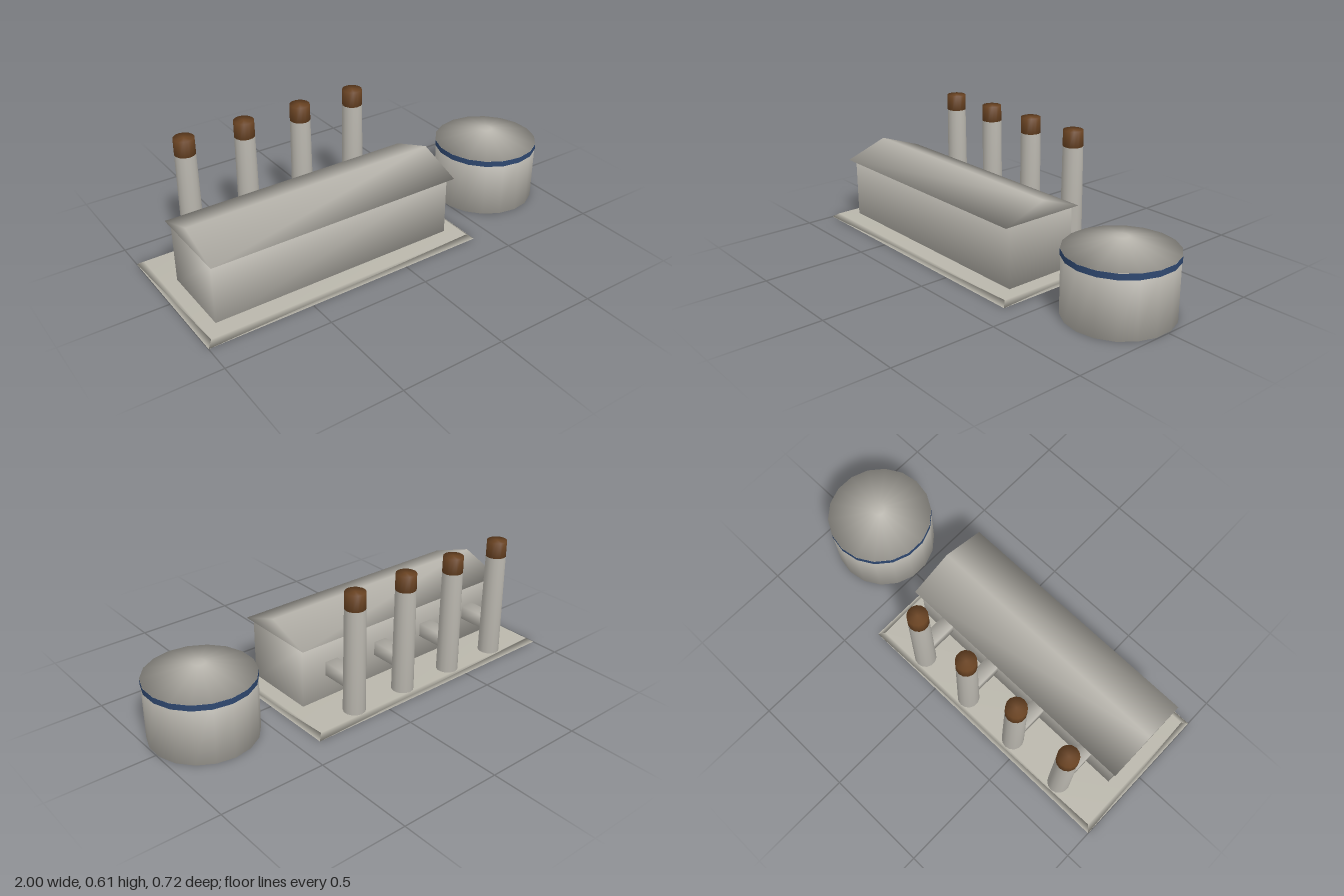
import * as THREE from 'three';
import { mergeVertices } from 'three/addons/utils/BufferGeometryUtils.js';

const concrete = new THREE.MeshStandardMaterial({ color: 0xb9b6ab });
concrete.name = 'concrete';
const cladding = new THREE.MeshStandardMaterial({ color: 0xb8b5ad });
cladding.name = 'grey cladding';
const rust = new THREE.MeshStandardMaterial({ color: 0x6b4423 });
rust.name = 'rust brown';
const blue = new THREE.MeshStandardMaterial({ color: 0x2f4870 });
blue.name = 'band blue';

// Weld the corners so that the shading runs smoothly over every edge
function weld(geometry) {
  geometry.deleteAttribute('normal');
  geometry.deleteAttribute('uv');
  const welded = mergeVertices(geometry, 1e-4);
  welded.computeVertexNormals();
  return welded;
}

function add(parent, name, geometry, material, x = 0, y = 0, z = 0) {
  const mesh = new THREE.Mesh(geometry, material);
  mesh.name = name;
  mesh.position.set(x, y, z);
  parent.add(mesh);
  return mesh;
}

// Box given by its limits
function block(x0, x1, y0, y1, z0, z1) {
  const g = new THREE.BoxGeometry(x1 - x0, y1 - y0, z1 - z0);
  g.translate((x0 + x1) / 2, (y0 + y1) / 2, (z0 + z1) / 2);
  return g;
}

// Upright drum or frustum standing on y0
function drum(rTop, rBottom, y0, y1, sides, open = false) {
  const g = new THREE.CylinderGeometry(rTop, rBottom, y1 - y0, sides, 1, open);
  g.translate(0, (y0 + y1) / 2, 0);
  return g;
}

export function createModel() {
  const model = new THREE.Group();
  model.name = 'powerStation';

  // Foundation slab with bevelled sides
  const slab = block(-1, 0.404, 0.001, 0.02, -0.361, 0.361);
  const p = slab.attributes.position;
  for (let i = 0; i < p.count; i++) {
    if (p.getY(i) > 0.01) {
      p.setX(i, p.getX(i) + (p.getX(i) < 0 ? 0.027 : -0.027));
      p.setZ(i, p.getZ(i) + (p.getZ(i) < 0 ? 0.027 : -0.027));
    }
  }
  add(model, 'foundation', weld(slab), concrete);

  // Main hall
  add(model, 'hall', weld(block(-0.91, 0.31, 0, 0.325, -0.12, 0.25)), cladding);

  // Gabled roof with overhanging eaves, extruded along x
  const gable = new THREE.Shape();
  gable.moveTo(-0.284, 0.319);
  gable.lineTo(0.147, 0.319);
  gable.lineTo(-0.069, 0.397);
  gable.closePath();
  const roof = new THREE.ExtrudeGeometry(gable, { depth: 1.25, bevelEnabled: false });
  roof.rotateY(Math.PI / 2);
  roof.translate(-0.924, 0, 0);
  add(model, 'roof', weld(roof), cladding);

  // Row of chimneys, each joined to the hall by a flue
  for (let i = 0; i < 4; i++) {
    const chimney = new THREE.Group();
    chimney.name = 'chimney' + (i + 1);
    chimney.position.set(-0.741 + i * 0.295, 0, -0.283);
    add(chimney, 'shaft', weld(drum(0.0485, 0.053, 0, 0.532, 14)), cladding);
    add(chimney, 'chimneyTop', weld(drum(0.048, 0.0487, 0.532, 0.61, 14)), rust);
    add(chimney, 'flue', weld(block(-0.035, 0.035, 0.137, 0.205, 0.036, 0.19)), cladding);
    model.add(chimney);
  }

  // Storage tank with a shallow conical lid and a painted band
  const tank = new THREE.Group();
  tank.name = 'tank';
  tank.position.set(0.748, 0, 0.023);
  add(tank, 'tankWall', weld(drum(0.25, 0.25, 0, 0.296, 18)), cladding);
  add(tank, 'tankLid', weld(drum(0.03, 0.252, 0.296, 0.351, 18)), cladding);
  add(tank, 'tankBand', drum(0.2525, 0.2525, 0.268, 0.296, 18, true), blue);
  model.add(tank);

  return model;
}
